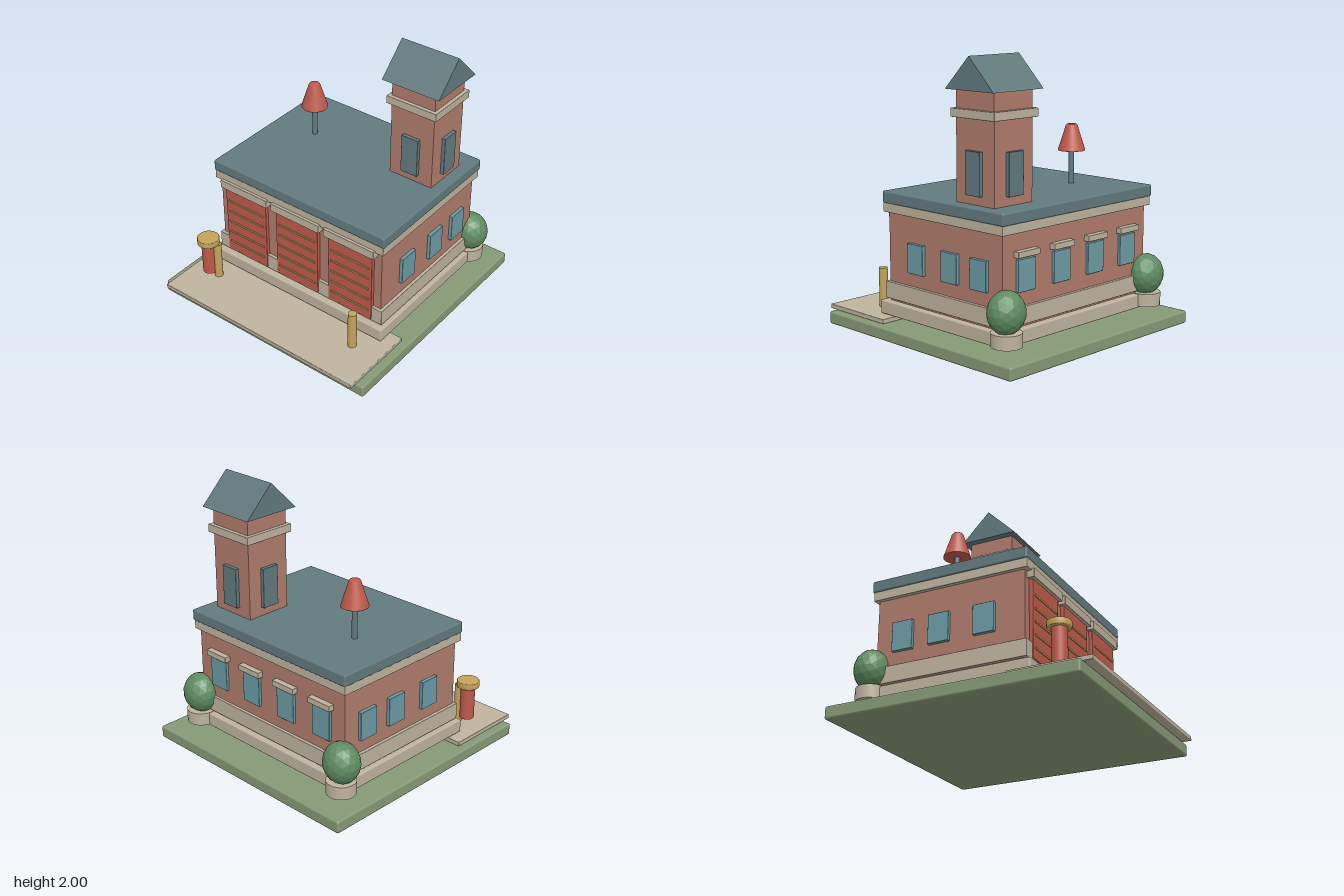
import * as THREE from 'three';
import { RoundedBoxGeometry } from 'three/addons/geometries/RoundedBoxGeometry.js';

const material = (name, color) => {
  const m = new THREE.MeshStandardMaterial({ color });
  m.name = name;
  return m;
};

export function createModel() {
  const model = new THREE.Group();
  model.name = 'fireStation';

  const grass = material('grass green', 0x869a76);
  const leaf = material('leaf green', 0x5f8c62);
  leaf.flatShading = true;
  const stone = material('pale stone', 0xbeb39e);
  const brick = material('brick', 0xb07c6c);
  const red = material('signal red', 0xbf5a4b);
  const slate = material('slate', 0x627a7e);
  const glass = material('window glass', 0x6c9ba5);
  const gold = material('brass', 0xc5a45a);

  const add = (name, geometry, mat, x = 0, y = 0, z = 0) => {
    const mesh = new THREE.Mesh(geometry, mat);
    mesh.name = name;
    mesh.position.set(x, y, z);
    model.add(mesh);
    return mesh;
  };
  // Box given by its extents on each axis, optionally with softened edges
  const box = (name, mat, [x0, x1], [y0, y1], [z0, z1], r = 0) => {
    const size = [x1 - x0, y1 - y0, z1 - z0];
    const geometry = r ? new RoundedBoxGeometry(...size, 2, r) : new THREE.BoxGeometry(...size);
    return add(name, geometry, mat, (x0 + x1) / 2, (y0 + y1) / 2, (z0 + z1) / 2);
  };
  const around = (c, width) => [c - width / 2, c + width / 2];
  const cylinder = (name, mat, x, z, r, y0, y1, sides = 24) =>
    add(name, new THREE.CylinderGeometry(r, r, y1 - y0, sides), mat, x, (y0 + y1) / 2, z);

  // Ground
  box('lawn', grass, [-0.92, 0.92], [0, 0.092], [-0.95, 0.897], 0.015);
  box('forecourt', stone, [-0.86, 0.86], [0.092, 0.125], [0.36, 0.955], 0.005);

  // Main building
  box('plinth', stone, [-0.77, 0.77], [0.13, 0.23], [-0.735, 0.49], 0.01);
  box('walls', brick, [-0.728, 0.724], [0.22, 0.88], [-0.687, 0.433]);
  box('baseBand', stone, [-0.752, 0.748], [0.248, 0.37], [-0.71, 0.456], 0.004);
  box('cornice', stone, [-0.757, 0.753], [0.87, 0.94], [-0.716, 0.464], 0.004);
  box('mainRoof', slate, [-0.765, 0.76], [0.935, 1.02], [-0.727, 0.466], 0.012);

  // Garage doors with brass slats and stone lintels
  for (const x of [-0.477, -0.003, 0.471]) {
    box('garageDoor', red, around(x, 0.38), [0.26, 0.83], [0.42, 0.461], 0.004);
    for (let i = 0; i < 5; i++) {
      box('doorSlat', gold, around(x, 0.33), around(0.34 + i * 0.0925, 0.012), [0.455, 0.469]);
    }
    box('doorLintel', stone, around(x, 0.434), [0.82, 0.885], [0.43, 0.485], 0.004);
  }

  // Side windows
  for (const z of [0.14, -0.2, -0.48]) {
    box('rightWindow', glass, [-0.754, -0.72], [0.468, 0.68], around(z, 0.157), 0.004);
    box('leftWindow', glass, [0.715, 0.75], [0.468, 0.68], around(z, 0.157), 0.004);
  }

  // Back windows
  for (let i = 0; i < 4; i++) {
    const x = -0.522 + i * 0.346;
    box('backWindow', glass, around(x, 0.165), [0.468, 0.69], [-0.708, -0.68], 0.004);
    box('backWindowLintel', stone, around(x, 0.205), [0.705, 0.748], [-0.73, -0.68], 0.004);
  }

  // Tower
  const tx = 0.497, tz = -0.386;
  box('towerShaft', brick, around(tx, 0.356), [1.01, 1.785], around(tz, 0.356));
  box('towerBelt', stone, around(tx, 0.412), [1.59, 1.65], around(tz, 0.412), 0.004);
  for (const s of [-1, 1]) {
    box('towerShutter', slate, around(tx + s * 0.19, 0.032), [1.083, 1.38], around(tz, 0.138), 0.004);
    box('towerShutter', slate, around(tx, 0.138), [1.083, 1.38], around(tz + s * 0.19, 0.032), 0.004);
  }

  // Gabled tower roof, ridge along x
  const gable = new THREE.Shape();
  gable.moveTo(-0.226, 1.775);
  gable.lineTo(0.226, 1.775);
  gable.lineTo(0, 2);
  gable.closePath();
  const roofGeometry = new THREE.ExtrudeGeometry(gable, { depth: 0.465, bevelEnabled: false });
  roofGeometry.translate(0, 0, -0.2325).rotateY(Math.PI / 2);
  add('towerRoof', roofGeometry, slate, tx, 0, tz);

  // Roof siren
  cylinder('sirenPole', slate, -0.41, -0.265, 0.02, 1.01, 1.27, 16);
  const hornProfile = [[0, 1.26], [0.099, 1.26], [0.099, 1.262], [0.043, 1.44], [0.034, 1.452], [0, 1.452]]
    .map(([r, y]) => new THREE.Vector2(r, y));
  add('sirenHorn', new THREE.LatheGeometry(hornProfile, 24), red, -0.41, 0, -0.265);

  // Potted shrubs at the back corners
  for (const x of [-0.727, 0.72]) {
    cylinder('shrubPot', stone, x, -0.72, 0.107, 0.14, 0.235, 20);
    const shrub = add('shrub', new THREE.IcosahedronGeometry(1, 2), leaf, x, 0.365, -0.717);
    shrub.scale.set(0.138, 0.15, 0.126);
  }

  // Forecourt posts
  cylinder('rightPost', gold, -0.63, 0.63, 0.032, 0.125, 0.418);
  cylinder('leftPost', gold, 0.626, 0.63, 0.032, 0.125, 0.415);

  // Red pillar with a brass cap
  cylinder('pillarBody', red, -0.69, 0.656, 0.054, 0.16, 0.42);
  const capProfile = [[0, 0.415], [0.078, 0.415], [0.083, 0.42], [0.083, 0.46], [0.078, 0.465], [0, 0.465]]
    .map(([r, y]) => new THREE.Vector2(r, y));
  add('pillarCap', new THREE.LatheGeometry(capProfile, 28), gold, -0.69, 0, 0.656);

  return model;
}
